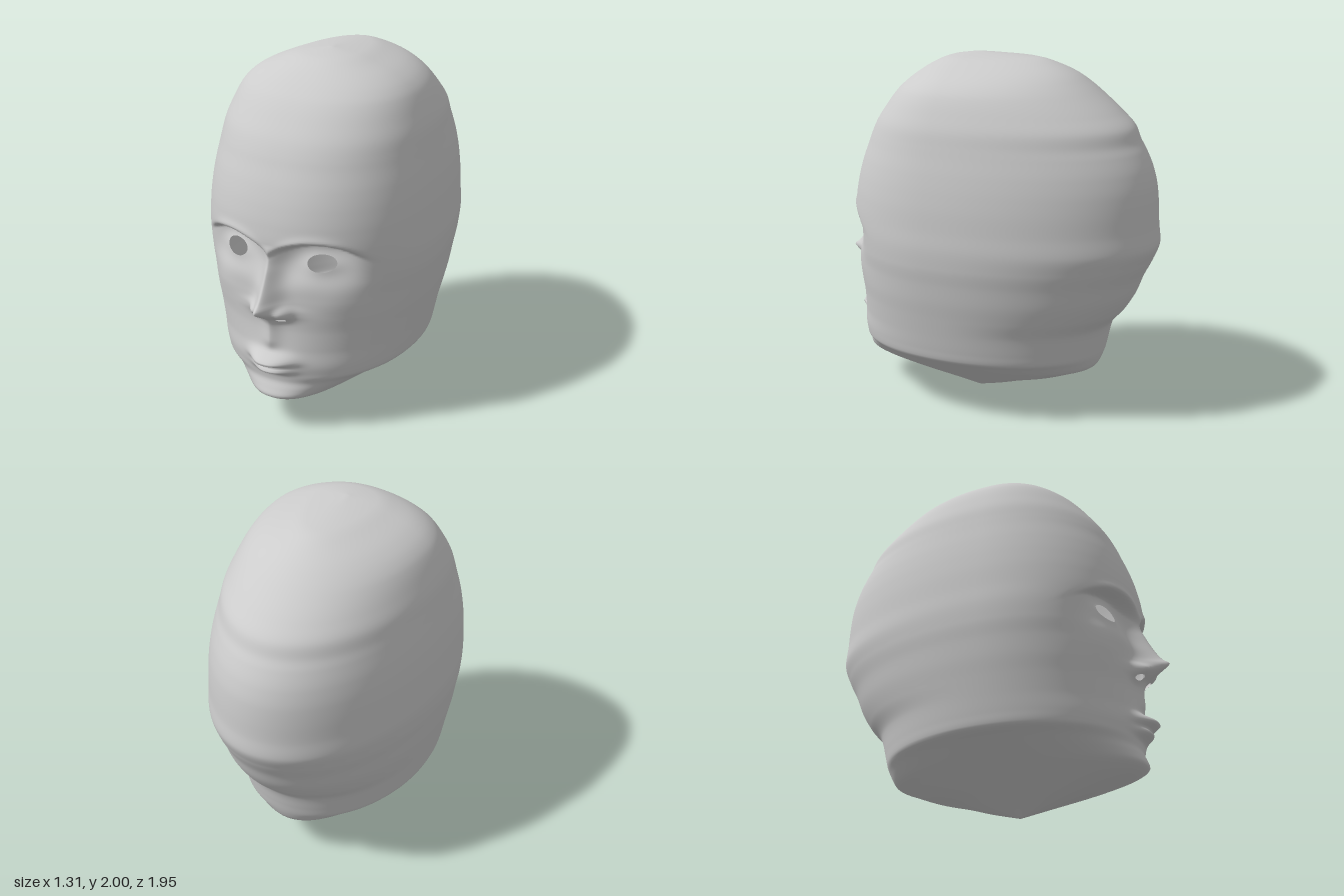
import * as THREE from 'three';

// Head sections: height, front z, back z, half width
const SECTIONS = [
  [0, 0.1, 0.1, 0], [0.05, 0.33, -0.08, 0.075], [0.1, 0.55, -0.23, 0.155], [0.15, 0.72, -0.4, 0.235],
  [0.18, 0.79, -0.48, 0.285], [0.21, 0.825, -0.55, 0.335], [0.25, 0.81, -0.635, 0.4], [0.3, 0.79, -0.66, 0.48],
  [0.34, 0.79, -0.672, 0.545], [0.4, 0.795, -0.685, 0.56], [0.5, 0.785, -0.71, 0.58], [0.6, 0.785, -0.79, 0.6],
  [0.7, 0.79, -0.85, 0.62], [0.8, 0.79, -0.89, 0.635], [0.9, 0.8, -0.94, 0.65], [1, 0.81, -0.975, 0.655],
  [1.1, 0.82, -0.965, 0.65], [1.2, 0.81, -0.96, 0.645], [1.3, 0.79, -0.95, 0.635], [1.4, 0.76, -0.925, 0.62],
  [1.5, 0.72, -0.88, 0.6], [1.55, 0.7, -0.85, 0.59], [1.62, 0.665, -0.82, 0.575], [1.7, 0.61, -0.74, 0.545],
  [1.8, 0.53, -0.62, 0.495], [1.85, 0.475, -0.555, 0.45], [1.9, 0.41, -0.48, 0.375], [1.95, 0.33, -0.37, 0.255],
  [1.98, 0.25, -0.26, 0.16], [2, 0.1, 0.1, 0],
];
// Nose and philtrum: height, projection, half width
const NOSE = [
  [0.48, 0, 0.06], [0.55, 0.03, 0.05], [0.64, 0.035, 0.05], [0.68, 0.05, 0.08], [0.7, 0.08, 0.09],
  [0.73, 0.13, 0.085], [0.755, 0.17, 0.07], [0.77, 0.185, 0.062], [0.8, 0.15, 0.06], [0.85, 0.112, 0.058],
  [0.9, 0.083, 0.052], [0.95, 0.058, 0.048], [1, 0.032, 0.045], [1.1, 0, 0.05],
];
// Openings on the model's left, mirrored: centre x, y, radii
const HOLES = [[0.257, 1.007, 0.074, 0.046], [0.07, 0.686, 0.028, 0.014]];
const CENTER_Z = 0.1;
const FRONT_POWER = 2.15;

// Smooth monotone interpolation through one column of a table
function sample(table, y, col) {
  const n = table.length - 1;
  if (y <= table[0][0]) return table[0][col];
  if (y >= table[n][0]) return table[n][col];
  let i = 0;
  while (table[i + 1][0] < y) i++;
  const slope = (k) => (table[k + 1][col] - table[k][col]) / (table[k + 1][0] - table[k][0]);
  const tangent = (k) => {
    if (k === 0) return slope(0);
    if (k === n) return slope(n - 1);
    const a = slope(k - 1), b = slope(k);
    return a * b > 0 ? (2 * a * b) / (a + b) : 0;
  };
  const h = table[i + 1][0] - table[i][0];
  const t = (y - table[i][0]) / h, u = 1 - t;
  return table[i][col] * (1 + 2 * t) * u * u + tangent(i) * h * t * u * u
    + table[i + 1][col] * t * t * (3 - 2 * t) - tangent(i + 1) * h * t * t * u;
}

const bump = (d, size, power = 2) => Math.exp(-Math.pow(Math.abs(d) / size, power));

// Relief of the face, added to z
function relief(x, y) {
  const ax = Math.abs(x);
  // nose ridge and wings
  let dz = sample(NOSE, y, 1) * bump(x, sample(NOSE, y, 2), 1.6);
  dz += 0.035 * bump(ax - 0.085, 0.035) * bump(y - 0.725, 0.035);
  // eye sockets under an arched brow, with a slight lid bulge
  const brow = 1.1 - 1.3 * (ax - 0.24) ** 2;
  const down = brow - y;
  const socket = down < 0 ? bump(down, 0.025) : bump(down, 0.17, 2.6);
  dz -= 0.095 * socket * bump(ax - 0.23, 0.2, 3.2);
  dz += 0.025 * bump(ax - 0.26, 0.1) * bump(y - 1.0, 0.05);
  dz += 0.012 * bump(y - brow - 0.035, 0.03) * bump(ax - 0.22, 0.16, 4);
  // cheekbones
  dz += 0.012 * bump(ax - 0.36, 0.12) * bump(y - 0.8, 0.1);
  // muzzle and lips
  dz += 0.02 * bump(x, 0.2) * bump(y - 0.45, 0.12);
  dz += 0.085 * bump(y - 0.432, y > 0.432 ? 0.04 : 0.024) * bump(x, 0.12, 2.6);
  dz += 0.055 * bump(y - 0.375, 0.022) * bump(x, 0.105, 2.6);
  return dz;
}

function frontZ(x, y) {
  const k = Math.min(1, Math.abs(x) / Math.max(sample(SECTIONS, y, 3), 1e-4));
  const bow = Math.pow(1 - Math.pow(k, FRONT_POWER), 1 / FRONT_POWER);
  return CENTER_Z + (sample(SECTIONS, y, 1) - CENTER_Z) * bow;
}

function headGeometry() {
  const cols = 256;
  const heights = [];
  for (let i = 1; i < 200; i++) heights.push(i / 100);
  heights.push(1.994, 1.998);
  const positions = [], inHole = [], indices = [];

  // rings of the head, packed closer around the face
  for (const ringY of heights) {
    const [front, back, width] = [1, 2, 3].map((c) => sample(SECTIONS, ringY, c));
    for (let j = 0; j < cols; j++) {
      const a = (j / cols) * Math.PI * 2;
      const angle = a - 0.6 * Math.sin(a);
      const s = Math.sin(angle), c = Math.cos(angle);
      const p = c > 0 ? FRONT_POWER : 2;
      const r = Math.pow(Math.abs(s) ** p + Math.abs(c) ** p, -1 / p);
      let x = width * s * r, y = ringY;
      let z = CENTER_Z + (c > 0 ? front - CENTER_Z : CENTER_Z - back) * c * r;
      let hole = 0;
      if (c > 0) {
        // points inside an opening move out to its rim
        HOLES.forEach(([hx, hy, rx, ry], k) => {
          const side = x < 0 ? -1 : 1;
          const dx = (x - side * hx) / rx, dy = (y - hy) / ry;
          const d = Math.hypot(dx, dy);
          if (d < 1 && !hole) {
            hole = side * (k + 1);
            x = side * hx + (dx / (d || 1)) * rx;
            y = hy + (dy / (d || 1)) * ry;
            z = frontZ(x, y);
          }
        });
        z += relief(x, y) * Math.min(1, c * 3);
      }
      positions.push(x, y, z);
      inHole.push(hole);
    }
  }
  const rows = heights.length;
  const bottom = rows * cols, top = bottom + 1;
  positions.push(0, 0, CENTER_Z, 0, 2, CENTER_Z);
  inHole.push(0, 0);

  const face = (a, b, c) => {
    if (inHole[a] && inHole[b] && inHole[c]) return;
    indices.push(a, b, c);
  };
  for (let j = 0; j < cols; j++) {
    const k = (j + 1) % cols;
    face(bottom, k, j);
    for (let i = 0; i < rows - 1; i++) {
      const a = i * cols + j, b = i * cols + k;
      face(a, b, b + cols);
      face(a, b + cols, a + cols);
    }
    face((rows - 1) * cols + j, (rows - 1) * cols + k, top);
  }
  const geometry = new THREE.BufferGeometry();
  geometry.setAttribute('position', new THREE.Float32BufferAttribute(positions, 3));
  geometry.setIndex(indices);
  geometry.computeVertexNormals();
  return geometry;
}

export function createModel() {
  const group = new THREE.Group();
  group.name = 'headModel';
  // open shell, seen from inside through the eyes and nostrils
  const grey = new THREE.MeshStandardMaterial({ color: 0xcccccc, side: THREE.DoubleSide });
  grey.name = 'light grey';
  const head = new THREE.Mesh(headGeometry(), grey);
  head.name = 'head';
  group.add(head);
  return group;
}
